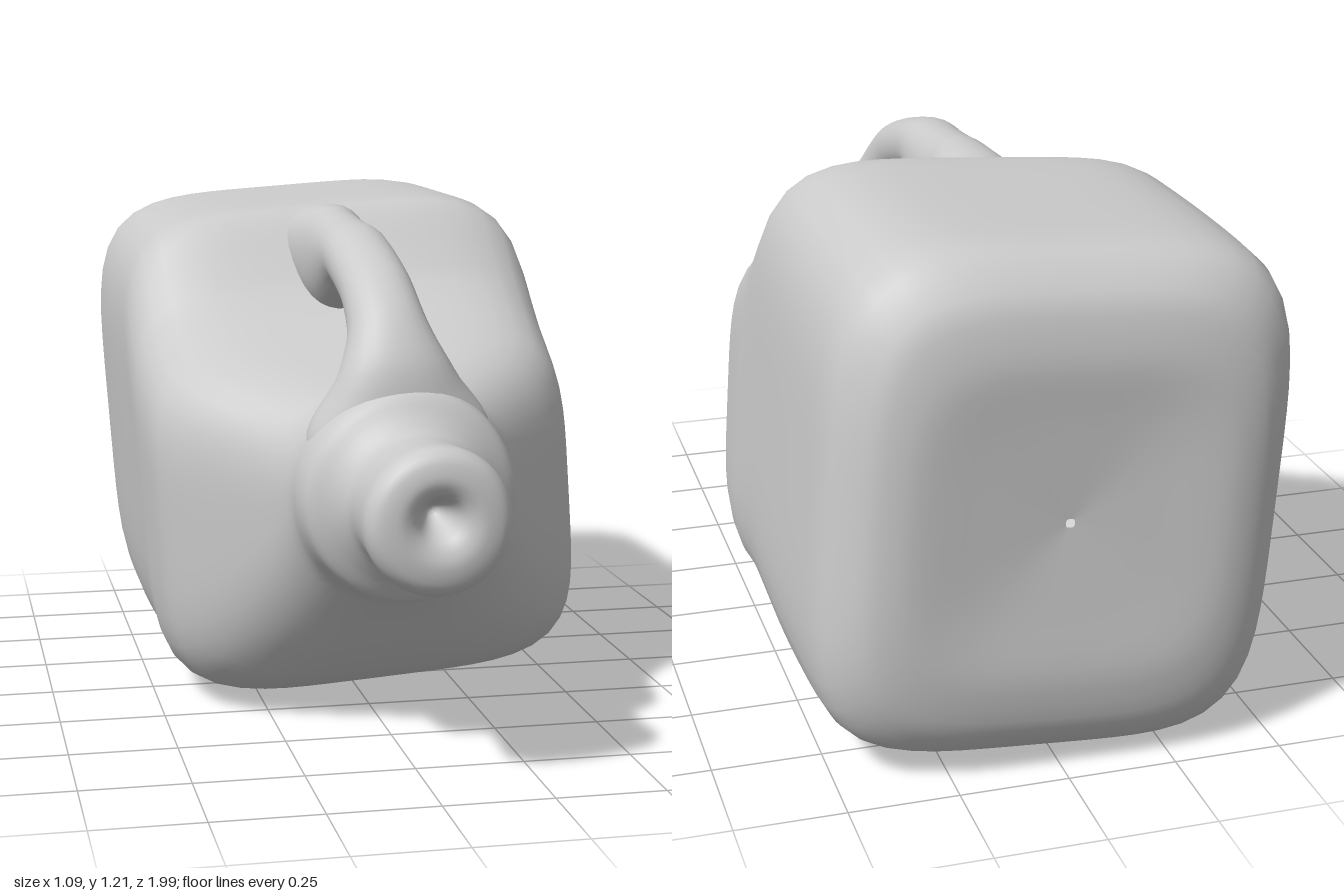
import * as THREE from 'three';

const material = new THREE.MeshStandardMaterial({ color: 0xcccccc, side: THREE.DoubleSide });
const AXIS_Y = 0.61; // height of the neck axis

// Skin a list of closed rings with smooth normals.
function loft(rings, name) {
  const n = rings[0].length;
  const index = [];
  for (let i = 0; i < rings.length - 1; i++) {
    for (let j = 0; j < n; j++) {
      const k = (j + 1) % n;
      const a = i * n + j, b = i * n + k, c = a + n, d = b + n;
      index.push(a, b, d, a, d, c);
    }
  }
  const geometry = new THREE.BufferGeometry();
  geometry.setFromPoints(rings.flat());
  geometry.setIndex(index);
  geometry.computeVertexNormals();
  const mesh = new THREE.Mesh(geometry, material);
  mesh.name = name;
  return mesh;
}

// Unit outline: a circle for power 2, a rounded square for higher powers.
function outline(power, count) {
  return Array.from({ length: count }, (_, j) => {
    const a = (j / count) * Math.PI * 2;
    const c = Math.cos(a), s = Math.sin(a);
    const r = (Math.abs(c) ** power + Math.abs(s) ** power) ** (-1 / power);
    return [c * r, s * r];
  });
}

const spline = (points) => new THREE.CatmullRomCurve3(
  points.map((p) => new THREE.Vector3(...p)), false, 'catmullrom', 0.4);

// Bottle from its base to the mouth.
function makeBottle() {
  // z, bottom, top, half width, outline power
  const sections = [
    [-0.97, 0.60, 0.62, 0.01, 3],
    [-0.985, 0.40, 0.84, 0.20, 4],
    [-0.995, 0.25, 0.98, 0.35, 4],
    [-0.97, 0.12, 1.10, 0.44, 4.2],
    [-0.90, 0.04, 1.175, 0.505, 4.6],
    [-0.80, 0.02, 1.20, 0.525, 4.8],
    [-0.50, 0.02, 1.20, 0.53, 5],
    [-0.20, 0.025, 1.195, 0.525, 5],
    [-0.13, 0.03, 1.165, 0.525, 5],
    [-0.06, 0.03, 1.08, 0.525, 5],
    [0.00, 0.03, 1.01, 0.525, 5],
    [0.08, 0.035, 0.955, 0.52, 5],
    [0.20, 0.055, 0.90, 0.505, 4.6],
    [0.30, 0.10, 0.865, 0.45, 4.2],
    [0.40, 0.185, 0.835, 0.365, 3.6],
    [0.50, 0.29, 0.82, 0.285, 2.8],
    [0.57, 0.35, 0.845, 0.25, 2.2],
    [0.64, 0.365, 0.855, 0.247, 2],
    [0.70, 0.375, 0.845, 0.235, 2],
    [0.735, 0.42, 0.80, 0.19, 2],
    [0.775, 0.455, 0.765, 0.157, 2],
    [0.86, 0.455, 0.765, 0.155, 2],
    [0.95, 0.45, 0.772, 0.16, 2],
    [0.985, 0.475, 0.75, 0.138, 2],
    [0.995, 0.525, 0.705, 0.09, 2],
    [0.975, 0.57, 0.67, 0.05, 2],
    [0.90, 0.61, 0.64, 0.015, 2],
    [0.89, 0.624, 0.626, 0.001, 2],
  ];
  const profile = spline(sections.map((s) => [s[0], s[1], s[2]]));
  const width = spline(sections.map((s) => [s[3], s[4], 0]));
  const steps = (sections.length - 1) * 4;
  const rings = [];
  for (let i = 0; i <= steps; i++) {
    const p = profile.getPoint(i / steps), w = width.getPoint(i / steps);
    const mid = (p.y + p.z) / 2, half = (p.z - p.y) / 2;
    rings.push(outline(w.y, 72).map(([x, y]) =>
      new THREE.Vector3(x * w.x, mid + y * half - AXIS_Y, p.x)));
  }
  return loft(rings, 'bottle');
}

// Handle arching from the collar back to the step in the body.
function makeHandle() {
  // y, z, half width, half thickness
  const sections = [
    [0.62, 0.60, 0.215, 0.08],
    [0.76, 0.60, 0.205, 0.105],
    [0.87, 0.605, 0.135, 0.09],
    [0.965, 0.56, 0.092, 0.08],
    [1.035, 0.48, 0.082, 0.073],
    [1.075, 0.38, 0.08, 0.07],
    [1.105, 0.25, 0.08, 0.073],
    [1.085, 0.12, 0.082, 0.105],
    [1.07, 0.00, 0.09, 0.13],
    [1.08, -0.12, 0.11, 0.12],
    [1.09, -0.24, 0.13, 0.09],
  ];
  const path = spline(sections.map((s) => [0, s[0], s[1]]));
  const size = spline(sections.map((s) => [s[2], s[3], 0]));
  const steps = (sections.length - 1) * 5;
  const rings = [];
  for (let i = 0; i <= steps; i++) {
    const t = i / steps;
    const p = path.getPoint(t), d = path.getTangent(t), s = size.getPoint(t);
    rings.push(outline(2.2, 28).map(([x, n]) => new THREE.Vector3(
      x * s.x, p.y + n * s.y * d.z - AXIS_Y, p.z - n * s.y * d.y)));
  }
  return loft(rings, 'handle');
}

export function createModel() {
  const group = new THREE.Group();
  group.name = 'jug';
  // The jug lies on its side, rolled slightly about the neck axis.
  const jug = new THREE.Group();
  jug.name = 'jugBody';
  jug.add(makeBottle(), makeHandle());
  jug.position.y = AXIS_Y;
  jug.rotation.z = 0.07;
  group.add(jug);
  return group;
}
